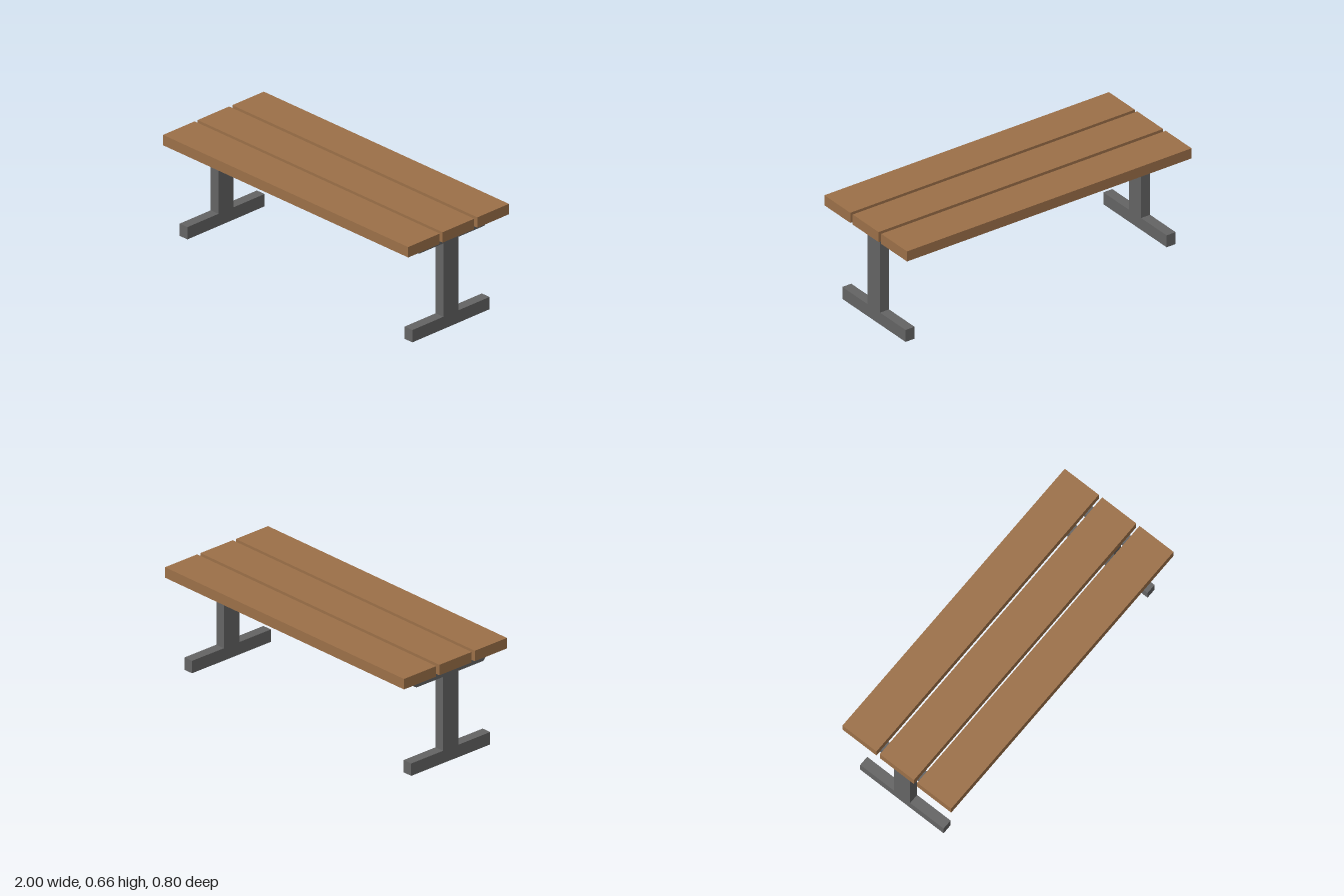
import * as THREE from 'three';

const wood = new THREE.MeshStandardMaterial({ color: 0x9c7048, side: THREE.DoubleSide });
const metal = new THREE.MeshStandardMaterial({ color: 0x646464 });

// Hollow plank: a thin shell, open underneath
function makePlank(z) {
  const geometry = new THREE.BoxGeometry(2, 0.066, 0.249);
  const index = Array.from(geometry.index.array);
  index.splice(18, 6); // drop the bottom face
  geometry.setIndex(index);
  geometry.clearGroups();
  const plank = new THREE.Mesh(geometry, wood);
  plank.name = 'plank';
  plank.position.set(0, 0.623, z);
  return plank;
}

// One-piece leg: foot, post and tapered crossbar, outlined in (z, y)
function makeLeg(x) {
  const outline = [
    [-0.302, 0], [0.308, 0], [0.308, 0.078], [0.063, 0.078],
    [0.063, 0.543], [0.255, 0.543], [0.303, 0.593],
    [-0.311, 0.593], [-0.262, 0.543], [-0.056, 0.543],
    [-0.056, 0.078], [-0.302, 0.078],
  ].map(([z, y]) => new THREE.Vector2(-z, y));
  const width = 0.063;
  const geometry = new THREE.ExtrudeGeometry(new THREE.Shape(outline), { depth: width, bevelEnabled: false });
  geometry.translate(0, 0, -width / 2);
  geometry.rotateY(Math.PI / 2); // shape x becomes -z, depth runs along x
  const leg = new THREE.Mesh(geometry, metal);
  leg.name = 'leg';
  leg.position.x = x;
  return leg;
}

export function createModel() {
  const bench = new THREE.Group();
  bench.name = 'bench';
  for (const z of [-0.273, 0.001, 0.274]) bench.add(makePlank(z));
  for (const x of [-0.926, 0.909]) bench.add(makeLeg(x));
  return bench;
}
